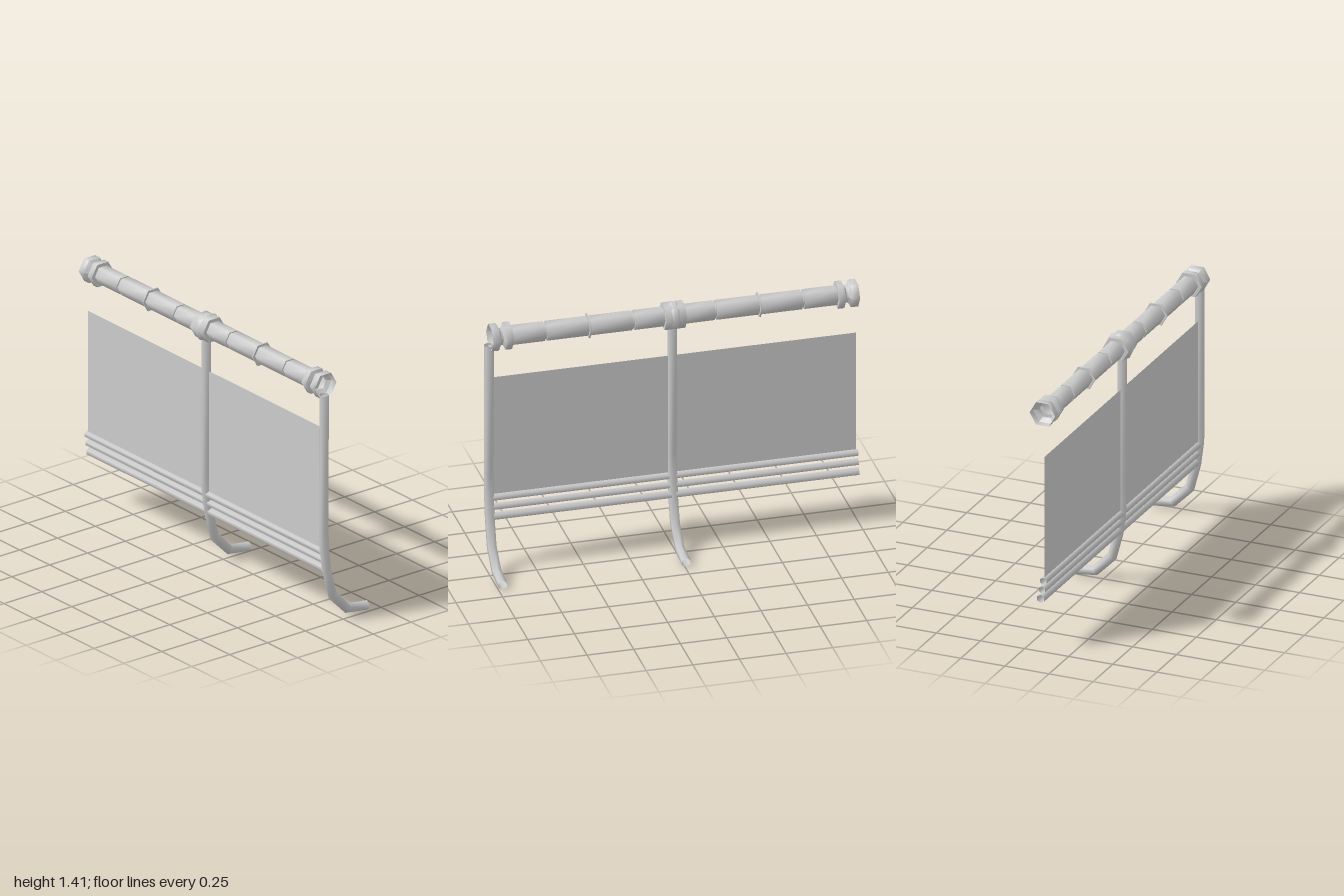
import * as THREE from 'three';
import { toCreasedNormals } from 'three/addons/utils/BufferGeometryUtils.js';

const mat = new THREE.MeshStandardMaterial({ color: 0xcccccc, side: THREE.DoubleSide });

// Bent hexagonal tube with mitred corners, path lies in the xy plane
function bentTube(path, r, sides = 6) {
  const pos = [], idx = [];
  const pts = path.map(([x, y]) => new THREE.Vector2(x, y));
  pts.forEach((p, i) => {
    const a = pts[Math.max(i - 1, 0)], b = pts[Math.min(i + 1, pts.length - 1)];
    const d1 = (i ? p.clone().sub(a) : b.clone().sub(p)).normalize();
    const d2 = (i < pts.length - 1 ? b.clone().sub(p) : p.clone().sub(a)).normalize();
    const t = d1.clone().add(d2).normalize();
    const mitre = r / t.dot(d1);
    for (let k = 0; k < sides; k++) {
      const w = (k / sides) * Math.PI * 2;
      pos.push(p.x - t.y * Math.cos(w) * mitre, p.y + t.x * Math.cos(w) * mitre, Math.sin(w) * r);
      if (i) {
        const n = (k + 1) % sides, lo = (i - 1) * sides, hi = i * sides;
        idx.push(lo + k, lo + n, hi + n, lo + k, hi + n, hi + k);
      }
    }
  });
  const g = new THREE.BufferGeometry();
  g.setAttribute('position', new THREE.Float32BufferAttribute(pos, 3));
  g.setIndex(idx);
  g.computeVertexNormals();
  return g;
}

// Turned shape along z from [radius, z] pairs
function turned(profile, sides) {
  const g = new THREE.LatheGeometry(profile.map(([r, z]) => new THREE.Vector2(r, z)), sides, Math.PI / 2);
  g.rotateX(Math.PI / 2);
  return toCreasedNormals(g, 1.1);
}

export function createModel() {
  const model = new THREE.Group();
  const add = (name, geo, x, y, z) => {
    const m = new THREE.Mesh(geo, mat);
    m.name = name;
    m.position.set(x, y, z);
    model.add(m);
    return m;
  };

  // Curved posts ending in a foot
  const postGeo = bentTube([
    [-0.108, 1.29], [-0.11, 0.54], [-0.107, 0.42], [-0.09, 0.288],
    [-0.052, 0.145], [0.045, 0.048], [0.171, 0.031],
  ], 0.0265);
  add('endPost', postGeo, 0, 0, 0.977);
  add('middlePost', postGeo, 0, 0, -0.006);

  // Top handrail: grooves, thin flanges and collars, mirrored about its middle
  const R = 0.052, C = 0.0725;
  const groove = (z) => [[R, z - 0.005], [0.044, z - 0.005], [0.044, z + 0.005], [R, z + 0.005]];
  const half = [
    [C, 0], [C, 0.056], [R, 0.056],
    ...groove(0.22),
    [R, 0.453], [0.066, 0.453], [0.066, 0.461], [R, 0.461],
    ...groove(0.69),
    [R, 0.873], [C, 0.873], [C, 0.908], [0.045, 0.92], [0.045, 0.93], [C, 0.943], [C, 0.983],
  ];
  const mirrored = half.slice(1).reverse().map(([r, z]) => [r, -z]);
  add('handrail', turned([...mirrored, ...half], 6), -0.097, 1.338, -0.008);

  // Band around the middle collar
  const band = add('middleBand', turned([[0.058, -0.03], [0.078, -0.008], [0.078, 0.008], [0.058, 0.03]], 8), -0.097, 1.338, -0.008);
  band.rotation.z = 0.05;

  // Thin infill panel
  const panel = new THREE.PlaneGeometry(1.95, 0.685);
  panel.rotateY(Math.PI / 2);
  add('panel', panel, -0.108, 0.757, -0.015);

  // Three lower rails following the bend of the posts
  for (const [x, y, r] of [[-0.106, 0.402, 0.02], [-0.099, 0.352, 0.02], [-0.091, 0.301, 0.023]]) {
    const rail = new THREE.CylinderGeometry(r, r, 1.96, 6, 1, true);
    rail.rotateX(Math.PI / 2);
    add('lowerRail', rail, x, y, -0.02);
  }

  return model;
}
